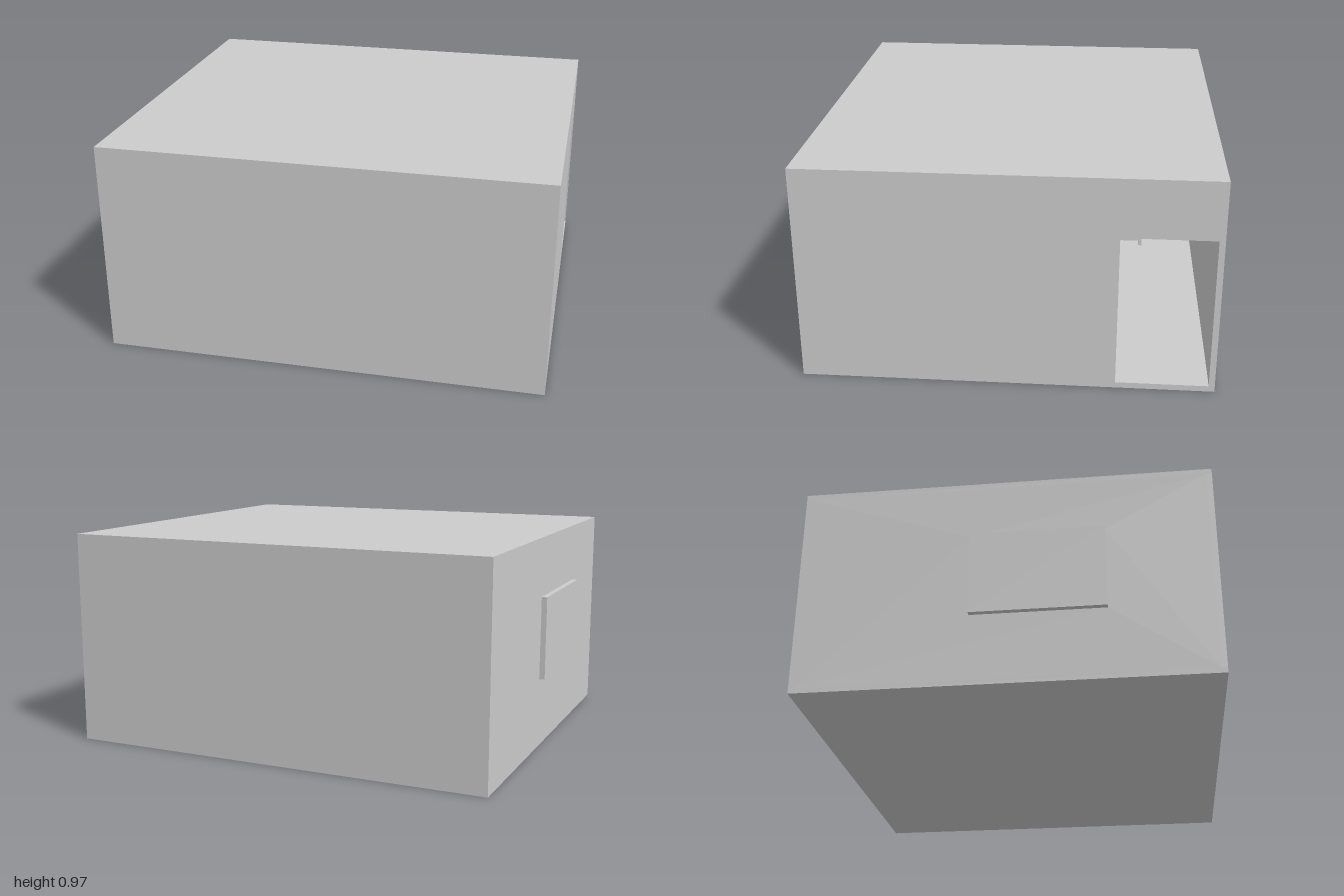
import * as THREE from 'three';

const material = new THREE.MeshStandardMaterial({ color: 0xcccccc });

// Box from its minimum and maximum corners
function box(name, [x0, y0, z0], [x1, y1, z1]) {
  const geometry = new THREE.BoxGeometry(x1 - x0, y1 - y0, z1 - z0);
  const mesh = new THREE.Mesh(geometry, material);
  mesh.name = name;
  mesh.position.set((x0 + x1) / 2, (y0 + y1) / 2, (z0 + z1) / 2);
  return mesh;
}

function namedGroup(name, ...parts) {
  const group = new THREE.Group();
  group.name = name;
  if (parts.length) group.add(...parts);
  return group;
}

const X0 = -0.975, X1 = 1, Z0 = -0.895, Z1 = 0.895, H = 0.97, T = 0.025;

// Wall in the z-y plane with one rectangular opening, outer face at x
function wallWithOpening(name, x, z0, z1, y0, y1) {
  const rect = (P, a, b, c, d) => {
    const p = new P();
    p.moveTo(a, c).lineTo(b, c).lineTo(b, d).lineTo(a, d).closePath();
    return p;
  };
  const shape = rect(THREE.Shape, Z0 + T, Z1 - T, T, H - T);
  shape.holes.push(rect(THREE.Path, z0, z1, y0, y1));
  const geometry = new THREE.ExtrudeGeometry(shape, { depth: T, bevelEnabled: false });
  geometry.rotateY(-Math.PI / 2).translate(x, 0, 0);
  const mesh = new THREE.Mesh(geometry, material);
  mesh.name = name;
  return mesh;
}

function createTable() {
  const table = namedGroup('table', box('tableTop', [-0.93, 0.29, -0.865], [-0.56, 0.31, -0.13]));
  for (const z of [-0.835, -0.185]) {
    for (const x of [-0.91, -0.605]) {
      table.add(box('tableLeg', [x, T, z], [x + 0.025, 0.29, z + 0.025]));
    }
  }
  table.add(box('tableStretcher', [-0.9, 0.065, -0.815], [-0.885, 0.08, -0.185]));
  return table;
}

// Chair facing the table, with its back towards the doorway
function createChair() {
  const chair = namedGroup('chair',
    box('seat', [-0.62, 0.2, -0.63], [-0.38, 0.21, -0.37]),
    box('backrest', [-0.395, 0.315, -0.59], [-0.385, 0.425, -0.41]));
  for (const z of [-0.608, -0.41]) {
    chair.add(
      box('backPost', [-0.4, T, z], [-0.38, 0.43, z + 0.018]),
      box('frontLeg', [-0.61, T, z], [-0.59, 0.2, z + 0.018]));
  }
  for (const x of [-0.606, -0.396]) {
    chair.add(box('chairStretcher', [x, 0.05, -0.59], [x + 0.012, 0.07, -0.41]));
  }
  return chair;
}

export function createModel() {
  return namedGroup('room',
    // Shell
    box('floor', [X0, 0, Z0], [X1, T, Z1]),
    box('ceiling', [X0, H - T, Z0], [X1, H, Z1]),
    box('backWall', [X0, T, Z0], [X1, H - T, Z0 + T]),
    box('frontWall', [X0, T, Z1 - T], [X1, H - T, Z1]),
    wallWithOpening('doorWall', X1, -0.869, -0.47, T + 0.001, 0.71),
    wallWithOpening('windowWall', X0 + T, -0.15, 0.43, 0.32, 0.7),
    // Window block standing proud of the wall
    box('window', [-1, 0.32, -0.15], [X0 + T, 0.7, 0.43]),
    // Furnishings
    box('wallBoard', [-0.75, 0.27, -0.875], [-0.15, 0.71, -0.862]),
    createTable(),
    createChair());
}
